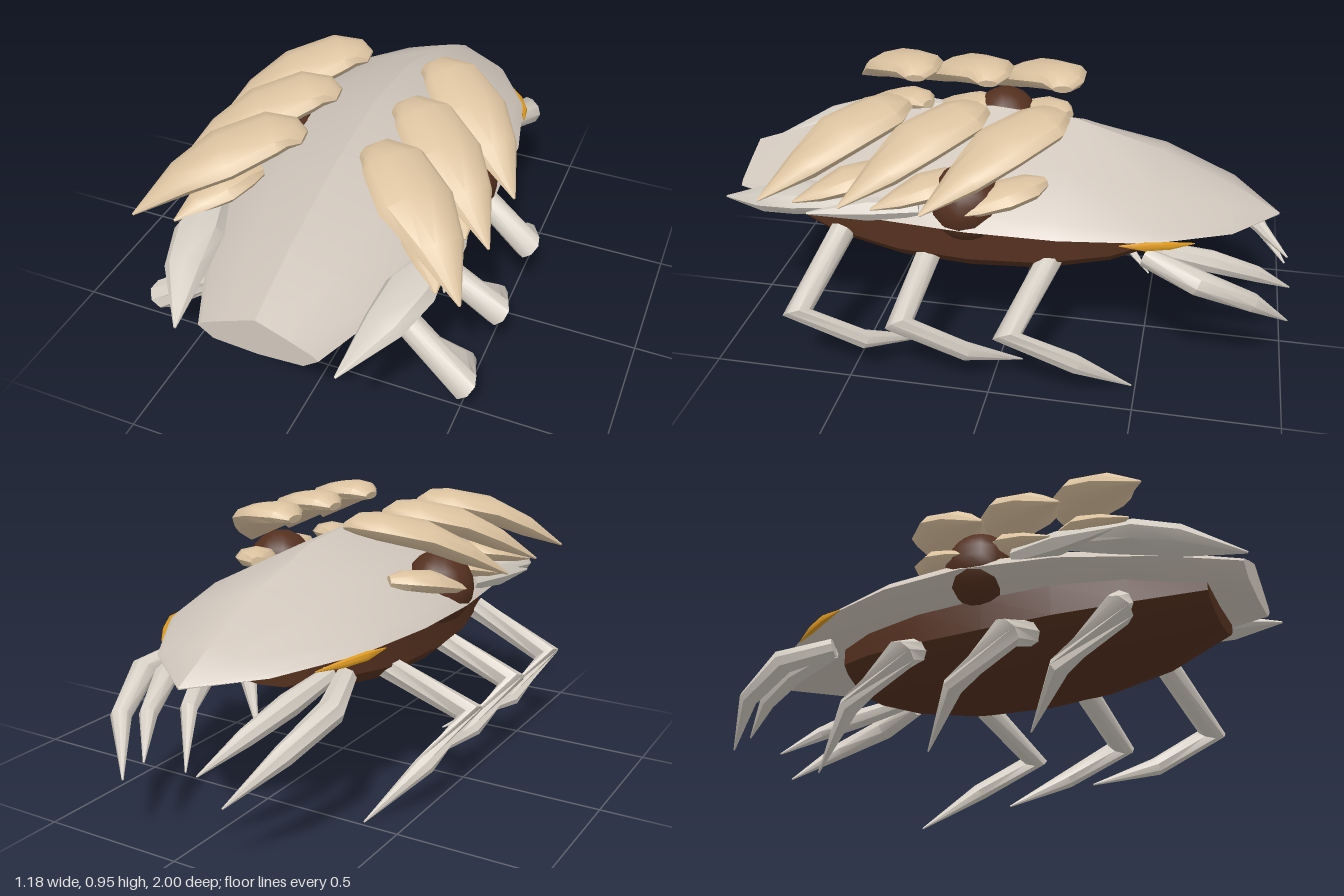
import * as THREE from 'three';
import { toCreasedNormals } from 'three/addons/utils/BufferGeometryUtils.js';

const V = (x, y, z) => new THREE.Vector3(x, y, z);
const mat = (name, color) => Object.assign(new THREE.MeshStandardMaterial({ color }), { name });

// Skin closed rings of equal length, cap both ends, face outwards.
function loft(rings, crease = 0.7) {
  const n = rings[0].length, tris = [];
  for (let i = 0; i < rings.length - 1; i++) {
    for (let j = 0; j < n; j++) {
      const k = (j + 1) % n;
      const a = rings[i][j], b = rings[i][k], c = rings[i + 1][k], d = rings[i + 1][j];
      tris.push([a, b, c], [a, c, d]);
    }
  }
  const cap = (ring, flip) => {
    const mid = ring.reduce((s, p) => s.add(p), V(0, 0, 0)).divideScalar(n);
    ring.forEach((p, j) => {
      const q = ring[(j + 1) % n];
      tris.push(flip ? [mid, q, p] : [mid, p, q]);
    });
  };
  cap(rings[0], true);
  cap(rings[rings.length - 1], false);
  // the signed volume tells whether the winding must be reversed
  const volume = tris.reduce((s, [a, b, c]) => s + a.dot(b.clone().cross(c)), 0);
  if (volume < 0) tris.forEach((t) => t.reverse());
  const geo = new THREE.BufferGeometry().setFromPoints(tris.flat());
  return toCreasedNormals(geo, crease);
}

// Tapered horn or blade along stations [x, y, z, half width, half thickness].
function limb(stations, side, sides = 8, dz = 0) {
  const pts = stations.map(([x, y, z]) => V(x * side, y, z + dz));
  return loft(stations.map(([, , , rw, rt = rw], i) => {
    const t = pts[Math.min(i + 1, pts.length - 1)].clone().sub(pts[Math.max(i - 1, 0)]).normalize();
    const wide = V(0, 1, 0).cross(t).normalize();
    const up = t.clone().cross(wide);
    return Array.from({ length: sides }, (_, j) => {
      const a = (j / sides) * Math.PI * 2;
      return pts[i].clone().addScaledVector(wide, Math.cos(a) * rw).addScaledVector(up, Math.sin(a) * rt);
    });
  }));
}

// Half section from top centre to bottom centre, mirrored into a ring.
function mirrorRing(half, z) {
  const right = half.map(([x, y]) => V(x, y, z));
  const left = half.slice(1, -1).reverse().map(([x, y]) => V(-x, y, z));
  return [...right, ...left];
}

export function createModel() {
  const model = new THREE.Group();
  const shellMat = mat('shell grey', 0xcfc5bb);
  const boneMat = mat('limb grey', 0xd3ccc2);
  const tanMat = mat('plate tan', 0xdcc3a0);
  const brownMat = mat('flesh brown', 0x54301f);
  const amberMat = mat('amber', 0xdb981f);
  const add = (name, geo, material) => {
    const mesh = new THREE.Mesh(geo, material);
    mesh.name = name;
    model.add(mesh);
    return mesh;
  };

  // ridged shell: z, half width, ridge y, rim y, bottom y
  const shell = [
    [0.97, 0.2, 0.655, 0.562, 0.515], [0.72, 0.31, 0.745, 0.582, 0.523],
    [0.4, 0.41, 0.825, 0.602, 0.533], [0.08, 0.455, 0.865, 0.612, 0.54],
    [-0.22, 0.445, 0.84, 0.607, 0.544], [-0.52, 0.375, 0.75, 0.59, 0.547],
    [-0.78, 0.215, 0.635, 0.563, 0.543], [-0.94, 0.004, 0.545, 0.542, 0.537],
  ];
  add('shell', loft(shell.map(([z, w, yr, ym, yb]) => mirrorRing([
    [0, yr], [w * 0.5, ym + (yr - ym) * 0.57], [w * 0.92, ym + (yr - ym) * 0.17], [w, ym],
    [w * 0.75, yb + (ym - yb) * 0.2], [0, yb],
  ], z))), shellMat);

  // soft underbody: z, half width, bottom y
  const belly = [
    [0.84, 0.17, 0.45], [0.6, 0.27, 0.37], [0.35, 0.325, 0.332], [0.1, 0.337, 0.32],
    [-0.15, 0.325, 0.332], [-0.38, 0.27, 0.375], [-0.53, 0.19, 0.425],
  ];
  add('underbody', loft(belly.map(([z, w, yb]) => {
    const d = 0.55 - yb;
    return mirrorRing([[0, 0.55], [w, 0.55], [w, 0.55 - d * 0.5], [w * 0.85, 0.55 - d * 0.72],
      [w * 0.5, 0.55 - d * 0.93], [0, yb]], z);
  })), brownMat);

  for (const side of [1, -1]) {
    // lump passing through the shell, under the plates
    const lump = add('sideLump', new THREE.SphereGeometry(0.125, 14, 10), brownMat);
    lump.position.set(0.335 * side, 0.66, 0.1);
    lump.scale.y = 1.05;

    // three large upper plates, and a smaller one below each
    for (const dz of [0, 0.27, 0.54]) {
      add('upperPlate', limb([
        [0.105, 0.9, -0.15, 0.035, 0.015], [0.145, 0.91, -0.145, 0.075, 0.035],
        [0.21, 0.905, -0.125, 0.11, 0.045], [0.33, 0.865, -0.01, 0.125, 0.05],
        [0.44, 0.8, 0.08, 0.08, 0.04], [0.55, 0.712, 0.205, 0.004],
      ], side, 10, dz), tanMat);
      add('lowerPlate', limb([
        [0.27, 0.725, -0.15, 0.025, 0.02], [0.31, 0.725, -0.11, 0.065, 0.035],
        [0.36, 0.71, -0.03, 0.08, 0.04], [0.41, 0.685, 0.05, 0.05, 0.025],
        [0.45, 0.66, 0.13, 0.004],
      ], side, 8, dz), tanMat);
    }

    // forward claws
    add('frontClaw', limb([
      [0.4, 0.655, 0.45, 0.035, 0.03], [0.365, 0.635, 0.66, 0.085, 0.05],
      [0.335, 0.605, 0.8, 0.07, 0.045], [0.265, 0.55, 0.998, 0.004],
    ], side), boneMat);
    add('cheekSpike', limb([
      [0.39, 0.65, 0.25, 0.03], [0.42, 0.645, 0.42, 0.04], [0.46, 0.628, 0.62, 0.004],
    ], side, 6), boneMat);

    // walking legs: hip, knee, ankle and tip
    const legs = [
      [[0.27, 0.46, 0.57], [0.55, 0.285, 0.65], [0.495, 0.165, 0.44], [0.29, 0.057, 0.26]],
      [[0.27, 0.42, 0.25], [0.55, 0.285, 0.29], [0.495, 0.165, 0.08], [0.33, 0.032, -0.09]],
      [[0.27, 0.44, -0.18], [0.55, 0.285, -0.08], [0.495, 0.165, -0.3], [0.37, 0.004, -0.485]],
    ];
    for (const [hip, knee, ankle, tip] of legs) {
      add('leg', limb([[...hip, 0.045], [...knee, 0.052], [...ankle, 0.034], [...tip, 0.003]],
        side, 8), boneMat);
    }

    // trailing legs at the back
    add('outerTail', limb([
      [0.31, 0.5, -0.5, 0.035], [0.365, 0.455, -0.68, 0.045],
      [0.31, 0.365, -0.86, 0.035], [0.19, 0.225, -0.998, 0.003],
    ], side), boneMat);
    add('innerTail', limb([
      [0.27, 0.51, -0.53, 0.03], [0.24, 0.465, -0.72, 0.04],
      [0.185, 0.4, -0.87, 0.03], [0.1, 0.305, -0.998, 0.003],
    ], side), boneMat);

    // amber leaf on the rim
    add('rimMark', limb([
      [0.408, 0.59, -0.42, 0.002], [0.385, 0.582, -0.5, 0.012, 0.016],
      [0.345, 0.572, -0.58, 0.012, 0.014], [0.297, 0.562, -0.66, 0.002],
    ], side), amberMat);
  }
  return model;
}
